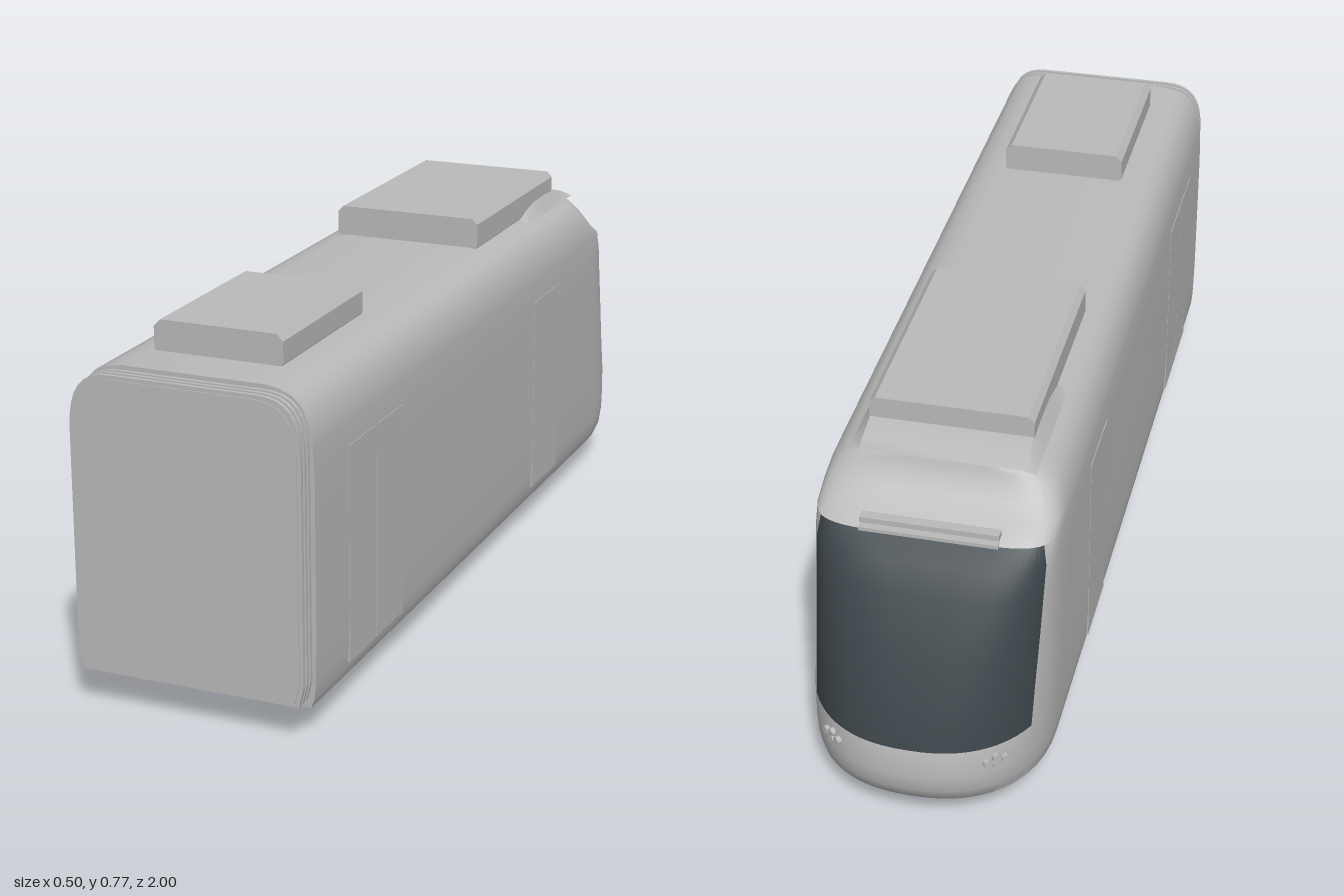
import * as THREE from 'three';
import { toCreasedNormals } from 'three/addons/utils/BufferGeometryUtils.js';

const material = (name, color) => {
  const m = new THREE.MeshStandardMaterial({ color });
  m.name = name;
  return m;
};

// Body layers, bottom to top: [height, half width, nose tip z, nose length, squareness of the nose in plan]
const LAYERS = [
  [0.06, 0.238, -0.955, 0.25, 2.3], [0.08, 0.245, -0.98, 0.26, 2.3], [0.11, 0.248, -0.993, 0.27, 2.3],
  [0.15, 0.249, -1.0, 0.28, 2.3], [0.21, 0.25, -0.99, 0.27, 2.3], [0.3, 0.25, -0.96, 0.27, 2.5],
  [0.4, 0.25, -0.918, 0.26, 2.9], [0.5, 0.25, -0.866, 0.24, 3.6], [0.55, 0.249, -0.833, 0.21, 4.3],
  [0.59, 0.247, -0.795, 0.18, 5.5], [0.61, 0.245, -0.75, 0.16, 6], [0.64, 0.237, -0.715, 0.15, 6],
  [0.665, 0.225, -0.695, 0.15, 6], [0.685, 0.205, -0.685, 0.15, 6], [0.695, 0.18, -0.682, 0.15, 6],
  [0.7, 0.15, -0.68, 0.15, 6],
];
const GLASS_LOW = 0.21, GLASS_HIGH = 0.59, REAR = 0.955;
const SIDE_STEPS = 5, FACE_STEPS = 12;

// Plan outline of one layer, from the left rear corner round the nose to the right rear corner
function planOutline([y, w, tip, length, n]) {
  const start = tip + length;
  const glassEdge = -0.865 + (0.097 * (y - GLASS_LOW)) / (GLASS_HIGH - GLASS_LOW);
  const t = THREE.MathUtils.clamp((start - glassEdge) / length, 0.2, 0.86);
  const split = Math.asin(Math.pow(t, n / 2));
  const half = [[w, y, REAR]];
  const add = (a) => half.push([
    w * Math.pow(Math.max(Math.cos(a), 0), 2 / n), y, start - length * Math.pow(Math.sin(a), 2 / n)]);
  for (let i = 0; i <= SIDE_STEPS; i++) add((split * i) / SIDE_STEPS);
  for (let i = 1; i < FACE_STEPS; i++) add(split + ((Math.PI / 2 - split) * i) / FACE_STEPS);
  const mirrored = half.map(([x, h, z]) => [-x, h, z]).reverse();
  return [...half, [0, y, tip], ...mirrored];
}

function bodyGeometry() {
  const rings = LAYERS.map(planOutline);
  const n = rings[0].length, top = rings.length - 1;
  const shell = [], glass = [];
  const id = (j, i) => j * n + i;
  for (let j = 0; j < top; j++) {
    const glazed = LAYERS[j][0] >= GLASS_LOW && LAYERS[j + 1][0] <= GLASS_HIGH;
    for (let i = 0; i < n - 1; i++) {
      const onFace = i > SIDE_STEPS && i < n - 2 - SIDE_STEPS;
      (glazed && onFace ? glass : shell).push(
        id(j, i), id(j, i + 1), id(j + 1, i + 1), id(j, i), id(j + 1, i + 1), id(j + 1, i));
    }
    // rear wall
    shell.push(id(j, n - 1), id(j, 0), id(j + 1, 0), id(j, n - 1), id(j + 1, 0), id(j + 1, n - 1));
  }
  // roof and floor
  for (let i = 0; i < (n - 1) / 2; i++) {
    const m = n - 1 - i;
    shell.push(id(top, i), id(top, i + 1), id(top, m - 1), id(top, i), id(top, m - 1), id(top, m));
    shell.push(i, m - 1, i + 1, i, m, m - 1);
  }
  const g = new THREE.BufferGeometry();
  g.setAttribute('position', new THREE.Float32BufferAttribute(rings.flat(2), 3));
  g.setIndex([...shell, ...glass]);
  g.addGroup(0, shell.length, 0);
  g.addGroup(shell.length, glass.length, 1);
  return toCreasedNormals(g, 0.6);
}

// Extrudes a shape along z from z0 to z1
function slab(shape, z0, z1) {
  const g = new THREE.ExtrudeGeometry(shape, { depth: z1 - z0, bevelEnabled: false, curveSegments: 8 });
  return g.translate(0, 0, z0);
}

// End-on outline with rounded roof corners
function endShape(w, bottom, top) {
  const s = new THREE.Shape();
  s.moveTo(-w + 0.01, bottom).lineTo(w - 0.01, bottom).lineTo(w, bottom + 0.04).lineTo(w, top - 0.12);
  s.bezierCurveTo(w, top - 0.03, w - 0.03, top, w - 0.09, top);
  s.lineTo(-w + 0.09, top);
  s.bezierCurveTo(-w + 0.03, top, -w, top - 0.03, -w, top - 0.12);
  s.lineTo(-w, bottom + 0.04);
  return s;
}

// Octagonal roof box outline
function boxShape(w, bottom, top, c) {
  return new THREE.Shape([
    [-w + c, bottom], [w - c, bottom], [w, bottom + c], [w, top - c],
    [w - c, top], [-w + c, top], [-w, top - c], [-w, bottom + c],
  ].map(([x, y]) => new THREE.Vector2(x, y)));
}

// Low hump of the roof around the front roof box
function fairingGeometry() {
  const rings = [[-0.38, 0], [-0.42, 0.013], [-0.47, 0.023], [-0.54, 0.025], [-0.6, 0.021], [-0.65, 0.011], [-0.685, 0]];
  const pos = [], index = [];
  rings.forEach(([z, h]) => pos.push(
    0.19, 0.692, z, 0.167, 0.699 + h, z, -0.167, 0.699 + h, z, -0.19, 0.692, z));
  for (let j = 0; j < rings.length - 1; j++) {
    for (let i = 0; i < 3; i++) {
      const a = j * 4 + i, b = a + 4;
      index.push(a, b, b + 1, a, b + 1, a + 1);
    }
  }
  const g = new THREE.BufferGeometry();
  g.setAttribute('position', new THREE.Float32BufferAttribute(pos, 3));
  g.setIndex(index);
  return toCreasedNormals(g, 0.5);
}

export function createModel() {
  const model = new THREE.Group();
  const grey = material('light grey', 0xbababa);
  const dark = material('dark glass', 0x3c454a);
  const greyOpen = grey;
  const add = (name, geometry, mat = grey, x = 0, y = 0, z = 0, parent = model) => {
    const mesh = new THREE.Mesh(geometry, mat);
    mesh.name = name;
    mesh.position.set(x, y, z);
    parent.add(mesh);
    return mesh;
  };

  add('bodyAndWindscreen', bodyGeometry(), [grey, dark]);

  // Ribbed gangway at the coupling end
  for (let i = 0; i < 6; i++) {
    const w = i % 2 ? 0.242 : 0.236, z = 0.95 + i * 0.008;
    add('gangwayRib', slab(endShape(w, i % 2 ? 0.078 : 0.084, i % 2 ? 0.692 : 0.685), z, z + 0.008));
  }
  add('gangwayPanel', slab(endShape(0.234, 0.084, 0.684), 0.997, 1.0));

  // Roof equipment
  add('frontRoofBox', slab(boxShape(0.168, 0.69, 0.766, 0.012), -0.6, -0.1));
  add('rearRoofBox', slab(boxShape(0.137, 0.69, 0.763, 0.014), 0.47, 0.845));
  add('roofFairing', fairingGeometry(), greyOpen);

  // Bar over the windscreen
  add('windscreenBar', new THREE.BoxGeometry(0.28, 0.012, 0.022), grey, 0, 0.607, -0.778);
  add('windscreenBarLower', new THREE.BoxGeometry(0.28, 0.008, 0.022), grey, 0, 0.592, -0.788);

  // Doors and lamps on both sides
  for (const side of [1, -1]) {
    for (const [z0, z1] of [[0.53, 0.664], [0.666, 0.8], [-0.43, -0.26]]) {
      add('door', new THREE.BoxGeometry(0.005, 0.45, z1 - z0), grey, side * 0.2482, 0.317, (z0 + z1) / 2);
    }
    const lamps = new THREE.Group();
    lamps.name = 'headlampCluster';
    lamps.position.set(side * 0.168, 0.172, -0.942);
    lamps.rotation.y = Math.PI - side * 0.72;
    for (const [x, y] of [[-0.02, 0.004], [0, -0.005], [0.02, 0.004], [0, 0.012]]) {
      add('headlamp', new THREE.CylinderGeometry(0.009, 0.009, 0.012, 12).rotateX(Math.PI / 2), grey, x, y, 0, lamps);
    }
    model.add(lamps);
  }

  // Bogie: wheels with inner flanges, axles and frame rails
  const wheelProfile = [[0, -0.012], [0.056, -0.012], [0.06, -0.009], [0.06, -0.006], [0.053, -0.002], [0.051, 0.014], [0, 0.014]]
    .map(([r, h]) => new THREE.Vector2(r, h));
  const wheel = toCreasedNormals(new THREE.LatheGeometry(wheelProfile, 28), 0.5);
  for (const z of [0.355, -0.02]) {
    for (const side of [1, -1]) {
      add('wheel', wheel, grey, side * 0.158, 0.06, z).rotation.z = -side * Math.PI / 2;
    }
    add('axle', new THREE.CylinderGeometry(0.007, 0.007, 0.3, 10).rotateZ(Math.PI / 2), grey, 0, 0.061, z);
  }
  for (const side of [1, -1]) {
    add('bogieRail', new THREE.BoxGeometry(0.012, 0.008, 0.375), grey, side * 0.165, 0.061, 0.1675);
  }
  return model;
}
